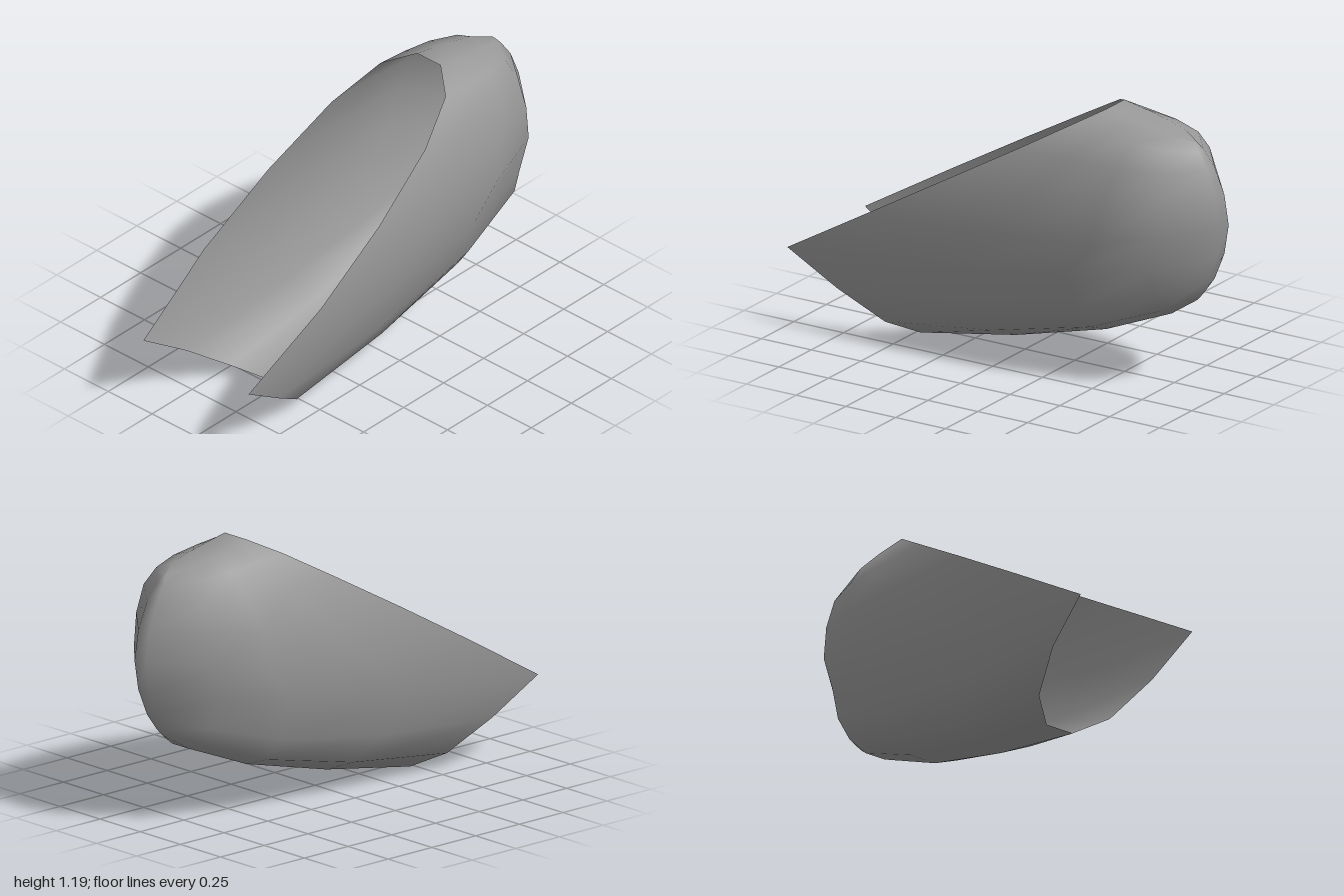
import * as THREE from 'three';

// Half outlines, listed from the top down the +z side to the bottom.
// Rim of the opening: a long slanted cut meeting a short lower cut at a point.
const rim = [
  [0.455, 1.19], [0.355, 1.135], [0.14, 1.01], [-0.2, 0.815], [-0.58, 0.595],
  [-1, 0.35], [-0.77, 0.2], [-0.58, 0.065], [-0.48, 0],
];
// Forward reach of the narrow nose edge
const noseX = [0.86, 0.885, 0.935, 0.98, 1, 0.98, 0.935, 0.885, 0.86];
// Share of the half height and half width at each point of the oval
const rise = [1, 0.91, 0.7, 0.37, 0, -0.37, -0.7, -0.91, -1];
const girth = [0.2, 0.56, 0.8, 0.95, 1, 0.95, 0.8, 0.57, 0.21];
// Rings ahead of the rim: half width, top and bottom height,
// and progress from rim to nose at the top, middle and bottom.
const rings = [
  { width: 0.333, top: 1.17, bottom: 0.085, reach: [0.25, 0.385, 0.358] },
  { width: 0.314, top: 1.15, bottom: 0.2, reach: [0.5, 0.709, 0.694] },
  { width: 0.245, top: 1.125, bottom: 0.33, reach: [0.78, 0.88, 0.933] },
  { width: 0.035, top: 1.1, bottom: 0.39, reach: [1, 1, 1] },
];
const half = rim.length;
const n = half * 2;

// Half a ring as [x, y, z] points
function ringPoints({ width, top, bottom, reach }) {
  return rim.map(([x], k) => {
    const t = k < 4
      ? THREE.MathUtils.lerp(reach[0], reach[1], k / 4)
      : THREE.MathUtils.lerp(reach[1], reach[2], (k - 4) / 4);
    return [
      THREE.MathUtils.lerp(x, noseX[k], t),
      (top + bottom) / 2 + rise[k] * (top - bottom) / 2,
      girth[k] * width,
    ];
  });
}

function shellGeometry() {
  // The rim's point bends slightly inward
  const rimPoints = rim.map(([x, y], k) => [x, y, k === 5 ? 0.3 : girth[k] * 0.333]);
  const halves = [rimPoints, ...rings.map(ringPoints)];
  const positions = [];
  const index = [];

  for (const points of halves) {
    for (const [x, y, z] of points) positions.push(x, y, z);
    for (const [x, y, z] of [...points].reverse()) positions.push(x, y, -z);
  }

  // Skin between neighbouring rings
  for (let r = 0; r < halves.length - 1; r++) {
    for (let i = 0; i < n; i++) {
      const a = r * n + i;
      const b = r * n + (i + 1) % n;
      index.push(a, b, a + n, b, b + n, a + n);
    }
  }

  // Narrow strip closing the nose
  const last = (halves.length - 1) * n;
  for (let k = 0; k < half - 1; k++) {
    const a = last + k;
    const c = last + n - 1 - k;
    index.push(a, a + 1, c, a + 1, c - 1, c);
  }

  const geometry = new THREE.BufferGeometry();
  geometry.setAttribute('position', new THREE.Float32BufferAttribute(positions, 3));
  geometry.setIndex(index);
  geometry.computeVertexNormals();
  return geometry;
}

export function createModel() {
  const group = new THREE.Group();
  group.name = 'openShell';
  const material = new THREE.MeshStandardMaterial({ color: 0x999999, side: THREE.DoubleSide });
  const shell = new THREE.Mesh(shellGeometry(), material);
  shell.name = 'shell';
  group.add(shell);
  return group;
}
